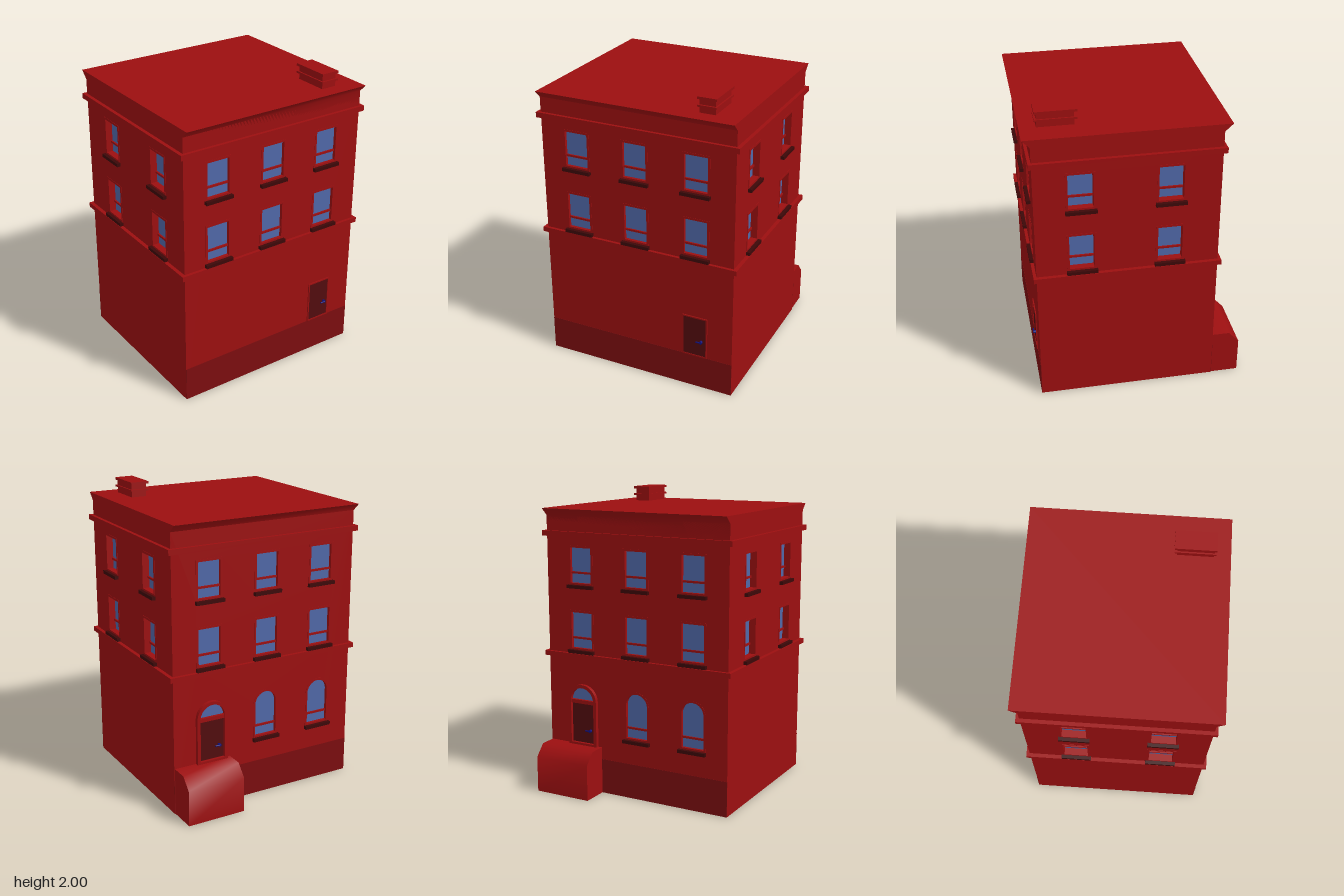
import * as THREE from 'three';
import { toCreasedNormals } from 'three/addons/utils/BufferGeometryUtils.js';

const paint = (color) => new THREE.MeshStandardMaterial({ color });
const BRICK = paint(0x9c0f10), PLINTH = paint(0x7c0d0f), SILL = paint(0x3c0808);
const DOOR = paint(0x520c0e), GLASS = paint(0x5068a8), HANDLE = paint(0x10107a);

// Building extents
const X = 0.667, Z0 = -0.515, Z1 = 0.65, ZC = (Z0 + Z1) / 2, D = Z1 - Z0;
const TOP = 1.85, T = 0.07;

function add(parent, name, geometry, material, x = 0, y = 0, z = 0) {
  const mesh = new THREE.Mesh(geometry, material);
  mesh.name = name;
  mesh.position.set(x, y, z);
  parent.add(mesh);
  return mesh;
}

// Box given by its limits on each axis
function box(parent, name, material, x0, x1, y0, y1, z0, z1) {
  return add(parent, name, new THREE.BoxGeometry(x1 - x0, y1 - y0, z1 - z0), material,
    (x0 + x1) / 2, (y0 + y1) / 2, (z0 + z1) / 2);
}

// Rectangular or round-headed outline, inset by m
function outline({ u, y0, y1, w, arched }, m = 0, Type = THREE.Shape) {
  const r = w / 2 - m, top = y1 - m, s = new Type();
  s.moveTo(u - r, y0 + m);
  s.lineTo(u + r, y0 + m);
  if (arched) {
    s.lineTo(u + r, top - r);
    s.absarc(u, top - r, r, 0, Math.PI, false);
  } else {
    s.lineTo(u + r, top);
    s.lineTo(u - r, top);
  }
  s.closePath();
  return s;
}

const extrude = (shape, depth) =>
  new THREE.ExtrudeGeometry(shape, { depth, bevelEnabled: false, curveSegments: 10 });

// Frame ring around an opening
function ring(o, m, depth) {
  const s = outline(o);
  s.holes.push(outline(o, m, THREE.Path));
  return extrude(s, depth);
}

// Sash window with recessed glass and a projecting sill
function addWindow(parent, o, recess) {
  const g = new THREE.Group();
  g.name = o.arched ? 'archedWindow' : 'window';
  parent.add(g);
  add(g, 'windowFrame', ring(o, 0.014, recess + 0.002), BRICK, 0, 0, -recess);
  add(g, 'glass', new THREE.ShapeGeometry(outline(o, 0.005), 10), GLASS, 0, 0, -recess + 0.001);
  const bar = o.y0 + 0.075, r = o.w / 2;
  box(g, 'sashBar', BRICK, o.u - r + 0.01, o.u + r - 0.01, bar, bar + 0.013, -recess, -recess + 0.012);
  box(g, 'sill', SILL, o.u - r - 0.006, o.u + r + 0.006, o.y0 - 0.02, o.y0 + 0.002, -recess, 0.025);
}

// Wall built facing +z, with openings cut through it
function facade(name, width, windows, recess) {
  const g = new THREE.Group();
  g.name = name;
  const s = new THREE.Shape();
  s.moveTo(-width / 2, 0);
  s.lineTo(width / 2, 0);
  s.lineTo(width / 2, TOP);
  s.lineTo(-width / 2, TOP);
  s.closePath();
  for (const o of windows) s.holes.push(outline(o, 0, THREE.Path));
  add(g, 'wall', extrude(s, T), BRICK, 0, 0, -T);
  for (const o of windows) addWindow(g, o, recess);
  return g;
}

// Lever handle on a door
function addHandle(parent, x, y, z, dir) {
  const stem = add(parent, 'handleStem', new THREE.CylinderGeometry(0.01, 0.01, 0.018, 12), HANDLE, x, y, z + 0.009);
  stem.rotation.x = Math.PI / 2;
  const lever = add(parent, 'handleLever', new THREE.CylinderGeometry(0.005, 0.005, 0.035, 10), HANDLE,
    x + dir * 0.016, y, z + 0.016);
  lever.rotation.z = Math.PI / 2;
}

const ROWS = [[0.965, 1.232], [1.4, 1.66]];
const upperWindows = (columns) => ROWS.flatMap(([y0, y1]) => columns.map((u) => ({ u, y0, y1, w: 0.185 })));

export function createModel() {
  const model = new THREE.Group();
  model.name = 'townhouse';

  // Front wall with the small plain door
  const front = facade('frontFacade', 2 * X, upperWindows([-0.42, -0.01, 0.407]), 0.02);
  front.position.z = Z1;
  box(front, 'plinth', PLINTH, -X, X, 0, 0.235, -0.002, 0.002);
  add(front, 'frontDoorFrame', ring({ u: 0.407, y0: 0.236, y1: 0.532, w: 0.175 }, 0.009, 0.008), BRICK);
  box(front, 'frontDoor', DOOR, 0.328, 0.486, 0.237, 0.525, -0.01, 0.004);
  addHandle(front, 0.455, 0.355, 0.004, -1);
  model.add(front);

  // Back wall with arched ground floor windows and the main entrance
  const arched = [0.01, 0.42].map((u) => ({ u, y0: 0.4, y1: 0.73, w: 0.185, arched: true }));
  const back = facade('backFacade', 2 * X, [...upperWindows([-0.407, 0.01, 0.42]), ...arched], 0.02);
  back.rotation.y = Math.PI;
  back.position.z = Z0;
  box(back, 'plinth', PLINTH, -X, X, 0, 0.235, -0.002, 0.002);
  const entry = { u: -0.4, y0: 0.31, y1: 0.735, w: 0.22, arched: true };
  add(back, 'entranceSurround', ring(entry, 0.022, 0.025), BRICK);
  add(back, 'fanlight', new THREE.ShapeGeometry(outline(entry, 0.015), 10), GLASS, 0, 0, 0.002);
  box(back, 'entranceLintel', BRICK, -0.5, -0.3, 0.605, 0.63, 0, 0.022);
  box(back, 'entranceDoor', DOOR, -0.49, -0.31, 0.32, 0.606, 0, 0.005);
  addHandle(back, -0.345, 0.42, 0.005, -1);
  model.add(back);

  // Side walls
  for (const side of [1, -1]) {
    const wall = facade(side > 0 ? 'leftFacade' : 'rightFacade', D - 2 * T,
      upperWindows([0.36, -0.2].map((z) => -side * (z - ZC))), 0.045);
    wall.rotation.y = side * Math.PI / 2;
    wall.position.set(side * X, 0, ZC);
    model.add(wall);
  }
  box(model, 'floor', PLINTH, -X + T, X - T, 0, 0.03, Z0 + T, Z1 - T);

  // String courses
  for (const [y0, y1] of [[0.91, 0.942], [1.715, 1.75]]) {
    box(model, 'stringCourse', BRICK, -0.692, 0.692, y0, y1, Z0 - 0.021, Z1 + 0.02);
  }

  // Flat roof with an eaves cornice flaring to front and back
  const profile = new THREE.Shape([
    [Z0, 1.75], [Z1, 1.75], [Z1, TOP], [Z1 + 0.048, 1.898], [Z0 - 0.052, 1.898], [Z0, TOP],
  ].map(([z, y]) => new THREE.Vector2(-z, y)).reverse());
  const cornice = toCreasedNormals(
    new THREE.ExtrudeGeometry(profile, { depth: 2 * X + 0.002, bevelEnabled: false }), 1.0);
  cornice.translate(0, 0, -X - 0.001);
  cornice.rotateY(Math.PI / 2);
  add(model, 'roofCornice', cornice, BRICK);

  // Chimney with two projecting courses
  box(model, 'chimneyShaft', BRICK, 0.4, 0.505, 1.88, 1.99, 0.365, 0.593);
  for (const [y0, y1] of [[1.937, 1.949], [1.984, 2]]) {
    box(model, 'chimneyCourse', BRICK, 0.39, 0.515, y0, y1, 0.347, 0.605);
  }

  // Entrance landing block with a chamfered outer edge
  const landing = new THREE.Shape([[0.5, 0], [0.7, 0], [0.7, 0.24], [0.63, 0.317], [0.5, 0.317]]
    .map(([z, y]) => new THREE.Vector2(z, y)));
  const block = extrude(landing, 0.4);
  block.rotateY(Math.PI / 2);
  add(model, 'entranceLanding', toCreasedNormals(block, 0.9), BRICK, 0.262, 0, 0);

  return model;
}
